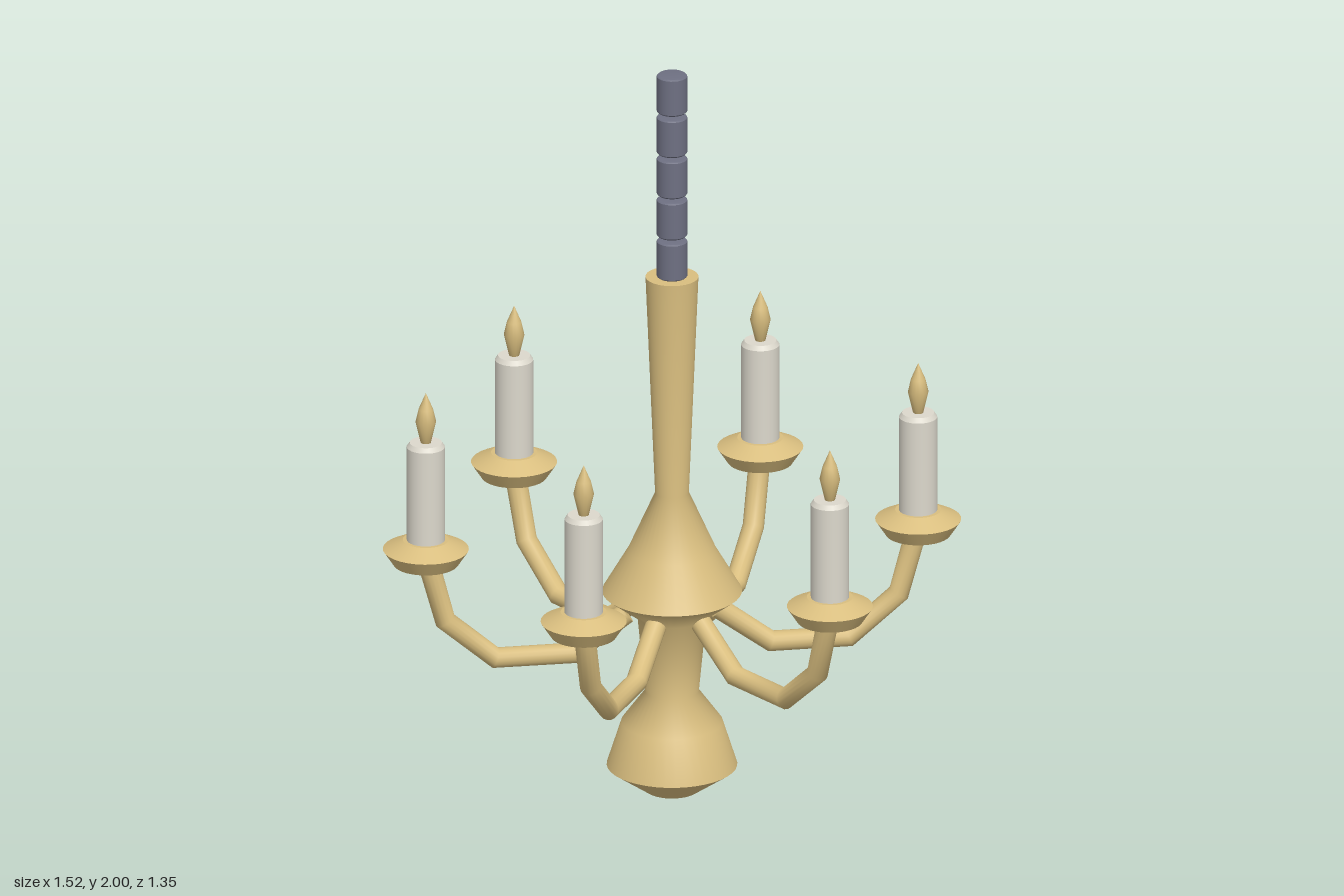
import * as THREE from 'three';

const material = (name, color) => {
  const m = new THREE.MeshStandardMaterial({ color });
  m.name = name;
  return m;
};

// Polyline path whose sample points fall exactly on its corners
class Polyline extends THREE.Curve {
  constructor(points) {
    super();
    this.points = points;
  }
  getPointAt(u) {
    return this.points[Math.round(u * (this.points.length - 1))].clone();
  }
  getTangentAt(u) {
    const p = this.points, i = Math.round(u * (p.length - 1)), t = new THREE.Vector3();
    if (i > 0) t.add(p[i].clone().sub(p[i - 1]).normalize());
    if (i < p.length - 1) t.add(p[i + 1].clone().sub(p[i]).normalize());
    return t.normalize();
  }
}

export function createModel() {
  const brass = material('brass', 0xd9be7f);
  const wax = material('wax', 0xdcd8cc);
  const iron = material('iron', 0x6e7082);
  const model = new THREE.Group();
  model.name = 'chandelier';

  const add = (parent, name, geometry, mat) => {
    const mesh = new THREE.Mesh(geometry, mat);
    mesh.name = name;
    parent.add(mesh);
    return mesh;
  };
  // Profile of [radius, height] from bottom to top; repeated points give sharp edges
  const lathe = (profile, sides) =>
    new THREE.LatheGeometry(profile.map(([r, y]) => new THREE.Vector2(r, y)), sides);

  // Turned central column
  add(model, 'column', lathe([
    [0, 0], [0.07, 0], [0.07, 0], [0.17, 0.07], [0.17, 0.07], [0.132, 0.19], [0.07, 0.275],
    [0.09, 0.485], [0.182, 0.555], [0.182, 0.555], [0.115, 0.67], [0.044, 0.83],
    [0.069, 1.435], [0.069, 1.435], [0, 1.435],
  ], 40), brass);

  // Stacked hanging links
  for (let i = 0; i < 5; i++) {
    const y = 1.434 + i * 0.1155, top = y + 0.104;
    add(model, 'chainLink', lathe([
      [0, y], [0.036, y], [0.04, y + 0.004], [0.04, y + 0.004],
      [0.04, top - 0.004], [0.04, top - 0.004], [0.036, top], [0, top],
    ], 24), iron);
  }

  // Shared parts of the six branches
  const path = new Polyline([[0.12, 0.5], [0.26, 0.397], [0.465, 0.397], [0.597, 0.51], [0.64, 0.67]]
    .map(([x, y]) => new THREE.Vector3(x, y, 0)));
  const tube = new THREE.TubeGeometry(path, 4, 0.028, 16);
  const cap = new THREE.CircleGeometry(0.028, 16);
  const saucer = lathe([
    [0, 0.673], [0.085, 0.673], [0.085, 0.673], [0.112, 0.714], [0.112, 0.714],
    [0.06, 0.74], [0.06, 0.74], [0, 0.74],
  ], 32);
  const candle = lathe([
    [0.05, 0.735], [0.05, 1], [0.05, 1], [0.042, 1.012], [0.042, 1.012], [0, 1.012],
  ], 24);
  const flame = lathe([[0, 1.01], [0.013, 1.01], [0.027, 1.07], [0.019, 1.105], [0, 1.15]], 16);

  for (let i = 0; i < 6; i++) {
    const branch = new THREE.Group();
    branch.name = 'branch';
    branch.rotation.y = i * Math.PI / 3;
    model.add(branch);

    add(branch, 'arm', tube, brass);
    for (const end of [0, 1]) {
      const disc = add(branch, 'armEnd', cap, brass);
      disc.position.copy(path.getPointAt(end));
      const out = path.getTangentAt(end).multiplyScalar(end ? 1 : -1);
      disc.quaternion.setFromUnitVectors(new THREE.Vector3(0, 0, 1), out);
    }
    for (const [name, geometry, mat] of [
      ['saucer', saucer, brass], ['candle', candle, wax], ['flame', flame, brass],
    ]) add(branch, name, geometry, mat).position.x = 0.648;
  }
  return model;
}
